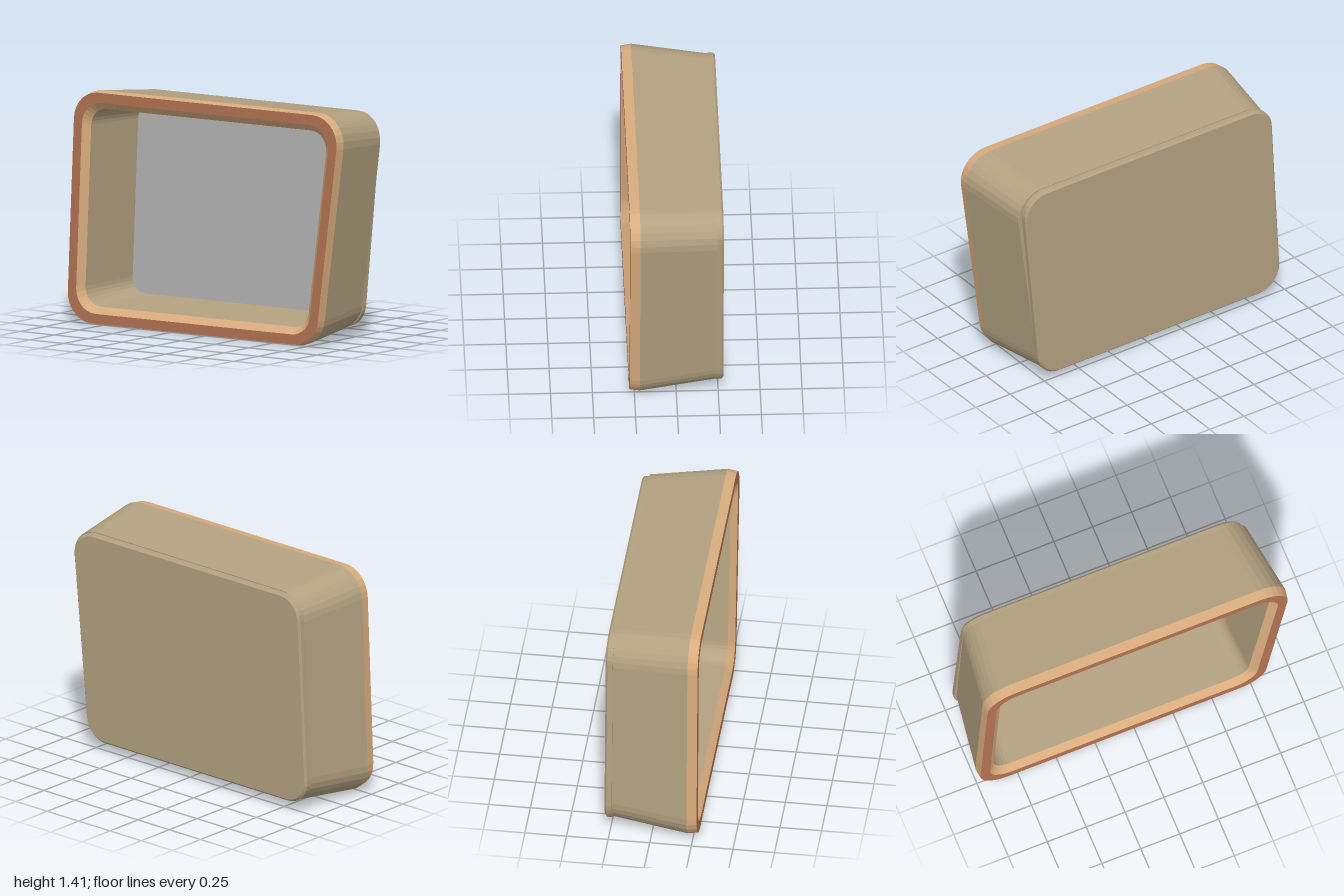
import * as THREE from 'three';

const CORNER_STEPS = 7;
const MID_Y = 0.705;

// Corners run counter-clockwise seen from the front, starting bottom left
const FRAME = [[-1.005, 0], [0.835, 0], [1.02, 1.41], [-0.945, 1.41]];
const BACK = [[-0.957, 0.055], [0.795, 0.055], [0.922, 1.36], [-0.887, 1.36]];

const toVectors = (corners) => corners.map(([x, y]) => new THREE.Vector2(x, y));

// Move every edge of the outline inwards by d
function inset(corners, d) {
  const p = toVectors(corners);
  return p.map((c, i) => {
    const u = c.clone().sub(p[(i + 3) % 4]).normalize();
    const v = p[(i + 1) % 4].clone().sub(c).normalize();
    const k = d / u.cross(v);
    return [c.x + (v.x - u.x) * k, c.y + (v.y - u.y) * k];
  });
}

// Shrink the outline about its centre
const scaled = (corners, s) => corners.map(([x, y]) => [x * s, MID_Y + (y - MID_Y) * s]);

// Rounded outline at depth z
function ring(corners, radius, z) {
  const p = toVectors(corners);
  const points = [];
  p.forEach((c, i) => {
    const u = c.clone().sub(p[(i + 3) % 4]).normalize();
    const v = p[(i + 1) % 4].clone().sub(c).normalize();
    const turn = Math.acos(u.dot(v));
    const start = c.clone().addScaledVector(u, -radius * Math.tan(turn / 2));
    const centre = new THREE.Vector2(start.x - u.y * radius, start.y + u.x * radius);
    const a0 = Math.atan2(start.y - centre.y, start.x - centre.x);
    for (let k = 0; k <= CORNER_STEPS; k++) {
      const a = a0 + (turn * k) / CORNER_STEPS;
      points.push([centre.x + radius * Math.cos(a), centre.y + radius * Math.sin(a), z]);
    }
  });
  return points;
}

function facetedGeometry(positions) {
  const geometry = new THREE.BufferGeometry();
  geometry.setAttribute('position', new THREE.Float32BufferAttribute(positions, 3));
  geometry.computeVertexNormals();
  return geometry;
}

// Skin a series of rings
function loft(rings) {
  const out = [];
  for (let r = 0; r < rings.length - 1; r++) {
    const a = rings[r], b = rings[r + 1];
    a.forEach((p, i) => {
      const j = (i + 1) % a.length;
      out.push(...p, ...a[j], ...b[j], ...p, ...b[j], ...b[i]);
    });
  }
  return facetedGeometry(out);
}

// Flat panel filling a ring
function cap(points, facesFront) {
  const out = [];
  const centre = [0, MID_Y, points[0][2]];
  points.forEach((p, i) => {
    const q = points[(i + 1) % points.length];
    out.push(...centre, ...(facesFront ? p : q), ...(facesFront ? q : p));
  });
  return facetedGeometry(out);
}

export function createModel() {
  const model = new THREE.Group();
  model.name = 'casing';

  const material = (name, color) => {
    const m = new THREE.MeshStandardMaterial({ color });
    m.name = name;
    return m;
  };
  const tan = material('tan', 0xb3a180);
  const paleWood = material('paleWood', 0xd9ac7e);
  const redWood = material('redWood', 0xb47352);
  const grey = material('grey', 0xb5b5b5);

  const add = (name, geometry, mat) => {
    const mesh = new THREE.Mesh(geometry, mat);
    mesh.name = name;
    model.add(mesh);
  };

  // Shell, from its back edge to the inner walls
  const shellBack = ring(scaled(FRAME, 0.937), 0.17, -0.24);
  const shellFront = ring(FRAME, 0.18, 0.22);
  const rimOuter = ring(inset(FRAME, 0.008), 0.175, 0.28);
  const rimInner = ring(inset(FRAME, 0.068), 0.14, 0.28);
  const bevelInner = ring(inset(FRAME, 0.108), 0.11, 0.24);
  const screenEdge = ring(inset(FRAME, 0.136), 0.09, -0.2);

  add('shellBackFace', cap(shellBack, false), tan);
  add('outerShell', loft([shellBack, shellFront]), tan);
  add('outerBevel', loft([shellFront, rimOuter]), paleWood);
  add('frontRim', loft([rimOuter, rimInner]), redWood);
  add('innerBevel', loft([rimInner, bevelInner]), paleWood);
  add('innerWalls', loft([bevelInner, screenEdge]), tan);
  add('screen', cap(screenEdge, true), grey);

  // Back cover with a chamfered edge
  const coverBack = ring(inset(BACK, 0.012), 0.14, -0.28);
  const coverEdge = ring(BACK, 0.15, -0.268);
  const coverFront = ring(BACK, 0.15, -0.236);
  add('backCoverPanel', cap(coverBack, false), tan);
  add('backCoverEdge', loft([coverBack, coverEdge, coverFront]), tan);
  add('backCoverFrontFace', cap(coverFront, true), tan);

  return model;
}
